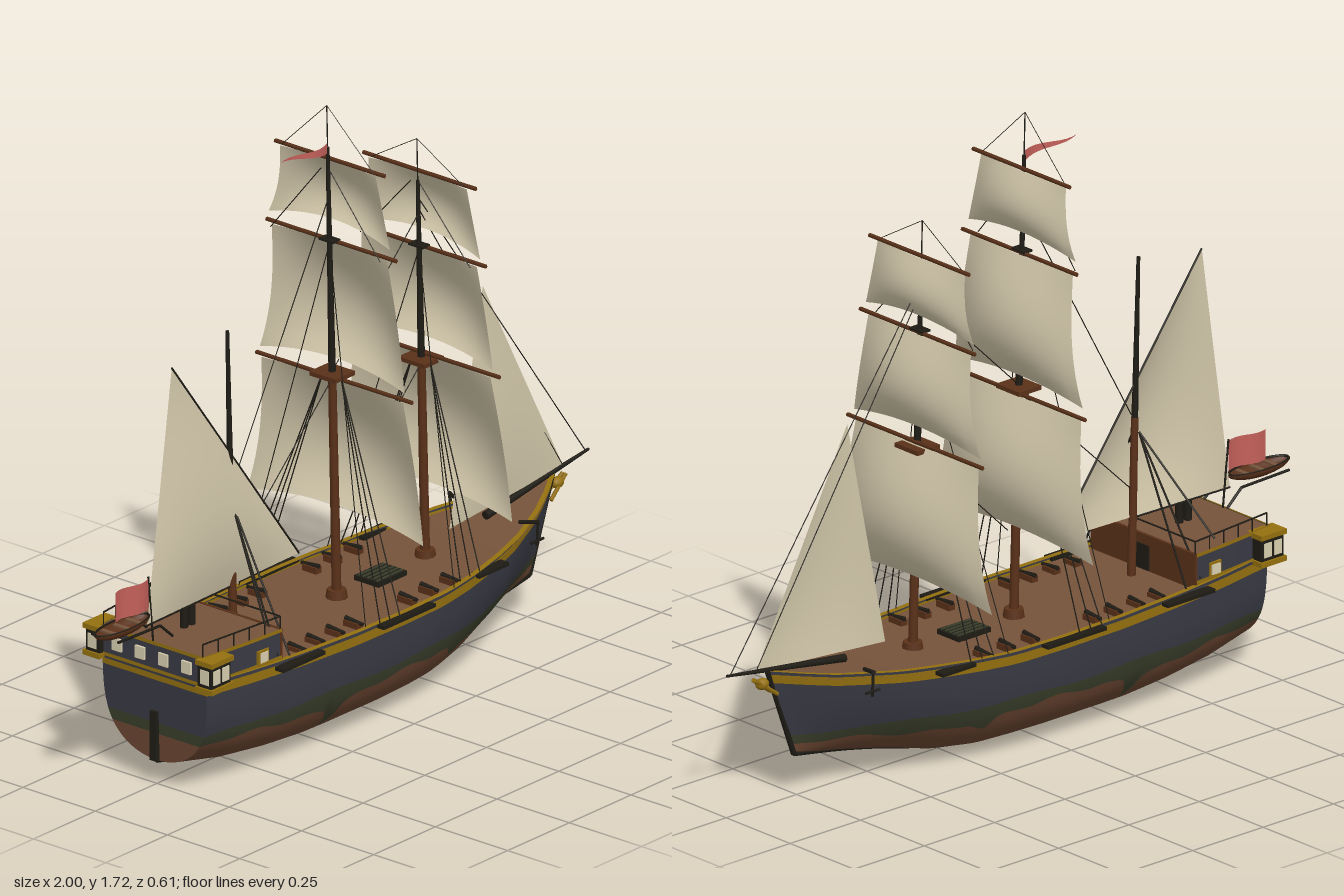
import * as THREE from 'three';

const mat = (name, color) => {
  const m = new THREE.MeshStandardMaterial({ color, side: THREE.DoubleSide });
  m.name = name;
  return m;
};
const M = {
  navy: mat('navy paint', 0x3a3a45), gold: mat('gold trim', 0x94700f), deck: mat('deck planks', 0x76533b),
  brown: mat('bottom brown', 0x6b4631), green: mat('weed green', 0x3a3f2b), sail: mat('canvas', 0xd3c8ab),
  red: mat('flag red', 0xc4605a), dark: mat('tarred black', 0x1f1c15), wood: mat('red brown wood', 0x5a3119),
  glass: mat('window cream', 0xd9d0b0),
};

// Table lookup with straight segments
const look = (t, x) => {
  if (x <= t[0][0]) return t[0][1];
  for (let i = 1; i < t.length; i++) {
    if (x <= t[i][0]) return THREE.MathUtils.mapLinear(x, t[i - 1][0], t[i][0], t[i - 1][1], t[i][1]);
  }
  return t[t.length - 1][1];
};
const lerp = THREE.MathUtils.lerp;

// Hull lines along the length
const KEEL = [[-.75, .068], [-.6, .036], [-.45, .018], [-.3, .008], [.2, .008], [.33, .025], [.46, .06], [.6, .09], [.76, .118]];
const SHEER = [[-.76, .335], [-.5, .325], [-.2, .318], [.2, .316], [.5, .331], [.7, .35], [.85, .376]];
const WIDTH = [[-.76, .18], [-.6, .2], [-.4, .217], [-.2, .226], [0, .229], [.15, .224], [.3, .207], [.42, .183], [.55, .148], [.67, .1], [.77, .052], [.85, .006]];
const BOW = [[.1, .752], [.2, .79], [.3, .826], [.376, .85]];
const keelY = u => look(KEEL, -.75 + 1.51 * u);
const sheerY = u => look(SHEER, -.76 + 1.61 * u);
const halfW = u => look(WIDTH, -.76 + 1.61 * u);
const uAt = x => (x + .76) / 1.61;
function hullPoint(u, y, side) {
  const k = keelY(u), t = THREE.MathUtils.clamp((y - k) / (sheerY(u) - k), 0, 1);
  const p = lerp(3.5, 2, Math.max(0, u - .5) * 2);
  const z = halfW(u) * Math.sqrt(1 - Math.pow(1 - t, p));
  return [lerp(-.75 - .03 * y, look(BOW, y), u), y, z * side];
}

// Smooth sheet from a rule f(u, v)
function sheet(nu, nv, f) {
  const pos = [], idx = [];
  for (let i = 0; i <= nu; i++) for (let j = 0; j <= nv; j++) pos.push(...f(i / nu, j / nv));
  for (let i = 0; i < nu; i++) for (let j = 0; j < nv; j++) {
    const a = i * (nv + 1) + j, b = a + nv + 1;
    idx.push(a, b, a + 1, b, b + 1, a + 1);
  }
  const g = new THREE.BufferGeometry();
  g.setAttribute('position', new THREE.Float32BufferAttribute(pos, 3));
  g.setIndex(idx);
  g.computeVertexNormals();
  return g;
}

export function createModel() {
  const ship = new THREE.Group();
  ship.name = 'sailingShip';
  const add = (name, geo, m) => {
    const mesh = new THREE.Mesh(geo, m);
    mesh.name = name;
    ship.add(mesh);
    return mesh;
  };
  const box = (name, m, x, y, z, w, h, d) => add(name, new THREE.BoxGeometry(w, h, d), m).position.set(x, y, z);
  const rod = (name, m, a, b, r0 = .0018, r1 = r0, sides = 5) => {
    const A = new THREE.Vector3(...a), B = new THREE.Vector3(...b), d = B.clone().sub(A);
    const mesh = add(name, new THREE.CylinderGeometry(r1, r0, d.length(), sides), m);
    mesh.position.copy(A).add(B).multiplyScalar(.5);
    mesh.quaternion.setFromUnitVectors(new THREE.Vector3(0, 1, 0), d.normalize());
  };

  // Hull in painted bands, with a ragged weed line
  const weedLow = u => {
    const x = -.76 + 1.61 * u;
    return Math.max(keelY(u), .135 + .012 * Math.sin(9 * x + 1) + .005 * Math.sin(31 * x)
      - .07 * Math.exp(-(((x + .24) / .022) ** 2)) - .03 * Math.exp(-(((x - .3) / .03) ** 2)));
  };
  const weedHigh = u => .176 + .004 * Math.sin(25 * u);
  const bands = [
    ['bottom', M.brown, keelY, weedLow, 14], ['weedLine', M.green, weedLow, weedHigh, 3],
    ['topsides', M.navy, weedHigh, u => sheerY(u) - .036, 5],
    ['goldBand', M.gold, u => sheerY(u) - .036, u => sheerY(u) - .01, 1],
    ['bulwark', M.navy, u => sheerY(u) - .01, sheerY, 1],
  ];
  for (const [name, m, lo, hi, n] of bands) {
    const row = (u, v) => lerp(lo(u), hi(u), n > 10 ? v * v : v);
    for (const s of [1, -1]) add(name, sheet(90, n, (u, v) => hullPoint(u, row(u, v), s)), m);
    add(name + 'Transom', sheet(2, n, (u, v) => hullPoint(0, row(0, v), u * 2 - 1)
      .map((c, i) => i === 2 ? hullPoint(0, row(0, v), 1)[2] * (u * 2 - 1) : c)), m);
  }
  add('deck', sheet(60, 2, (u, v) => [lerp(-.76, .845, u), sheerY(u) - .016, halfW(u) * (v * 2 - 1) * .99]), M.deck);
  for (const s of [1, -1]) add('rail', sheet(60, 1, (u, v) =>
    [lerp(-.76, .85, u), sheerY(u) + .001, s * Math.max(0, halfW(u) + .004 - v * .016)]), M.gold);

  // Keel, stem and rudder
  for (let i = 0; i < 24; i++) {
    const a = hullPoint(i / 24, keelY(i / 24), 0), b = hullPoint((i + 1) / 24, keelY((i + 1) / 24), 0);
    rod('keel', M.dark, a, b, .008);
  }
  rod('stem', M.dark, [.76, .118, 0], [.825, .3, 0], .008);
  rod('stem', M.dark, [.825, .3, 0], [.853, .375, 0], .008);
  box('rudder', M.dark, -.757, .14, 0, .02, .14, .022);

  // Stern cabin
  const uc = uAt(-.485), wall = u => halfW(u) - .006;
  const cabX = u => lerp(-.768, -.485, u);
  const cabSheet = (name, m, y0, y1, out) => {
    for (const s of [1, -1]) add(name, sheet(8, 1, (u, v) =>
      [cabX(u), lerp(y0, y1, v), s * (wall(u * uc) + out)]), m);
    add(name, sheet(1, 1, (u, v) => [-.768 - out, lerp(y0, y1, v), (u * 2 - 1) * (wall(0) + out)]), m);
  };
  cabSheet('cabinWall', M.navy, .32, .412, 0);
  cabSheet('cabinTrim', M.gold, .404, .414, .003);
  cabSheet('cabinTrim', M.gold, .328, .338, .003);
  add('cabinRoof', sheet(8, 1, (u, v) => [cabX(u), .411, (v * 2 - 1) * wall(u * uc)]), M.deck);
  box('cabinBulkhead', M.wood, -.485, .363, 0, .008, .1, .41);
  box('cabinDoor', M.dark, -.48, .35, 0, .006, .07, .05);
  for (let i = 0; i < 4; i++) box('sternWindow', M.glass, -.771, .37, -.12 + i * .08, .007, .035, .032);
  for (const s of [1, -1]) {
    box('sideWindow', M.gold, -.555, .354, s * .2, .042, .04, .008);
    box('sideWindow', M.glass, -.555, .354, s * .203, .03, .028, .008);
    // Quarter galleries
    box('galleryBase', M.gold, -.745, .328, s * .195, .09, .014, .058);
    box('galleryBody', M.dark, -.745, .366, s * .193, .078, .066, .048);
    box('galleryRoof', M.gold, -.745, .404, s * .195, .09, .014, .058);
    for (const x of [-.763, -.727]) box('galleryWindow', M.glass, x, .365, s * .217, .026, .04, .006);
    box('galleryWindow', M.glass, -.783, .365, s * .195, .006, .04, .03);
    // Poop railing
    rod('poopRail', M.dark, [-.765, .447, s * .172], [-.485, .447, s * .2], .0025);
    for (let i = 0; i < 6; i++) {
      const x = -.765 + i * .056, z = s * (.172 + i * .0056);
      rod('railPost', M.dark, [x, .41, z], [x, .447, z], .002);
    }
  }
  rod('poopRail', M.dark, [-.485, .447, -.2], [-.485, .447, .2], .0025);
  for (const x of [-.64, -.61]) rod('bollard', M.dark, [x, .41, 0], [x, .468, 0], .011, .011, 8);

  // Deck fittings
  for (const s of [1, -1]) {
    for (const x of [-.38, -.305, -.225, -.15, .07, .155, .24]) {
      box('gunCarriage', M.wood, x, .309, s * .165, .022, .018, .05);
      rod('gunBarrel', M.dark, [x, .321, s * .14], [x, .317, s * .2], .007, .005, 8);
    }
    for (const [x, w, z] of [[-.435, .17, .227], [-.02, .21, .237], [.365, .12, .2]])
      box('channel', M.dark, x, .312, s * z, w, .01, .03);
    // Catheads with anchors
    rod('cathead', M.dark, [.6, .345, s * .1], [.615, .355, s * .155], .006);
    rod('anchorShank', M.dark, [.615, .35, s * .152], [.615, .285, s * .148], .004);
    rod('anchorArms', M.dark, [.59, .3, s * .15], [.64, .3, s * .15], .004);
  }
  box('hatchGrating', M.dark, .155, .307, 0, .115, .014, .085);
  for (let i = 0; i < 5; i++) box('gratingBar', M.green, .155, .314, -.032 + i * .016, .105, .006, .006);

  // Bowsprit and bow ornament
  rod('bowsprit', M.dark, [.58, .342, 0], [.998, .4, 0], .012, .004, 8);
  const knob = add('bowOrnament', new THREE.SphereGeometry(.016, 10, 8), M.gold);
  knob.scale.set(1.3, 1, 1);
  knob.position.set(.872, .345, 0);
  for (const s of [1, -1]) rod('bowScroll', M.gold, [.83, .31, s * .014], [.9, .362, s * .005], .006);

  // Square rigged masts: sails are [bottom, top, half width below, half width above]
  const squareMast = (base, tip, tipY, platY, sails) => {
    const at = y => lerp(base, tip, (y - .3) / (tipY - .3));
    rod('lowerMast', M.wood, [base, .3, 0], [at(platY), platY, 0], .013, .011, 10);
    rod('upperMast', M.dark, [at(platY), platY, 0], [at(tipY - .12), tipY - .12, 0], .01, .005, 8);
    rod('mastTip', M.dark, [at(tipY - .12), tipY - .12, 0], [tip, tipY, 0], .0018);
    rod('mastRing', M.wood, [base, .3, 0], [base, .325, 0], .03, .026, 10);
    box('platform', M.wood, at(platY), platY, 0, .08, .012, .09);
    box('crosstrees', M.dark, at(sails[1][1]), sails[1][1] + .01, 0, .03, .006, .05);
    for (const [y0, y1, w0, w1] of sails) {
      add('squareSail', sheet(14, 12, (u, v) => {
        const k = u * 2 - 1, belly = Math.sin(Math.PI * v ** .85);
        return [at(lerp(y0, y1, v)) + .012 + .16 * (y1 - y0) * belly * (1 - .75 * k * k) - .012 * k * k,
          lerp(y0, y1, v) + .03 * (1 - v) * (1 - k * k), k * (lerp(w0, w1, v) - .008 * belly)];
      }), M.sail);
      rod('yard', M.wood, [at(y1) + .008, y1 + .005, -w1 - .025], [at(y1) + .008, y1 + .005, w1 + .025], .006);
    }
    const top = sails[2][1];
    for (const s of [1, -1]) {
      rod('lift', M.dark, [tip, tipY, 0], [at(top), top + .005, s * .16], .001);
      for (let i = 0; i < 3; i++)
        rod('shroud', M.dark, [at(platY), platY, s * .03], [base - .1 + i * .04, .315, s * (halfW(uAt(base)) + .008)], .0018);
      rod('backstay', M.dark, [at(sails[1][1]), sails[1][1], 0], [base - .14, .315, s * .22], .0014);
      rod('brace', M.dark, [at(top) - .01, top - .02, s * .015], [at(top) - .01, sails[1][1], s * .19], .0014);
    }
  };
  squareMast(-.022, -.062, 1.715, .945, [[.53, .925, .305, .245], [.955, 1.32, .25, .2], [1.355, 1.555, .21, .165]]);
  squareMast(.337, .303, 1.505, .873, [[.485, .882, .305, .24], [.905, 1.19, .248, .2], [1.215, 1.405, .212, .17]]);

  // Mizzen mast with its rigging
  rod('mizzenMast', M.wood, [-.44, .3, 0], [-.452, .75, 0], .012, .01, 10);
  rod('mizzenTopmast', M.dark, [-.452, .75, 0], [-.465, 1.2, 0], .009, .005, 8);
  for (const s of [1, -1]) for (const [x, y] of [[-.55, .44], [-.5, .34], [-.45, .32]])
    rod('mizzenShroud', M.dark, [-.458, .71, s * .01], [x, y, s * .205], .003);

  // Triangular fore and aft sails
  const triSail = (name, a, b, c, bulge) => add(name, sheet(14, 14, (u, v) => {
    const w = v * (1 - u), x = 1 - u - w;
    return [a[0] * u + b[0] * w + c[0] * x, a[1] * u + b[1] * w + c[1] * x, bulge * 27 * u * w * x];
  }), M.sail);
  triSail('mizzenSail', [-.69, 1.165], [-.79, .465], [-.175, .475], .035);
  triSail('jib', [.57, 1.0], [.435, .35], [.895, .385], .012);
  rod('mizzenGaff', M.dark, [-.69, 1.165, 0], [-.175, .475, 0], .003);
  rod('mizzenBoom', M.dark, [-.79, .463, 0], [-.44, .468, 0], .003);

  // Stays
  for (const [a, b] of [[[.312, 1.33], [.985, .4]], [[.312, 1.3], [.895, .385]], [[.31, 1.29], [-.04, .95]],
    [[.32, .86], [0, .55]], [[-.055, 1.45], [-.44, .76]], [[-.04, .93], [-.44, .55]]])
    rod('stay', M.dark, [...a, 0], [...b, 0], .0015);

  // Flags
  add('pennant', sheet(8, 1, (u, v) => [-.06 - .185 * u, 1.607 - .03 * v * (1 - u), .012 * Math.sin(u * 6)]), M.red);
  add('sternFlag', sheet(8, 2, (u, v) => [-.785 - .13 * u, .51 + .085 * v, .008 * Math.sin(u * 6)]), M.red);
  rod('flagStaff', M.dark, [-.765, .41, 0], [-.785, .6, 0], .003);

  // Boat slung over the stern
  const boat = add('sternBoat', new THREE.SphereGeometry(1, 18, 8, 0, Math.PI * 2, Math.PI / 2, Math.PI / 2), M.wood);
  boat.scale.set(.108, .028, .036);
  boat.position.set(-.892, .497, 0);
  const gunwale = add('boatGunwale', new THREE.TorusGeometry(1, .045, 5, 24), M.dark);
  gunwale.rotation.x = Math.PI / 2;
  gunwale.scale.set(.103, .034, .08);
  gunwale.position.set(-.892, .497, 0);
  for (const x of [-.94, -.89, -.84]) box('boatThwart', M.deck, x, .49, 0, .014, .005, .056);
  for (const s of [1, -1]) {
    rod('davit', M.dark, [-.74, .43, s * .045], [-.79, .475, s * .045], .004);
    rod('davit', M.dark, [-.79, .475, s * .045], [-.96, .48, s * .045], .004);
  }
  return ship;
}
